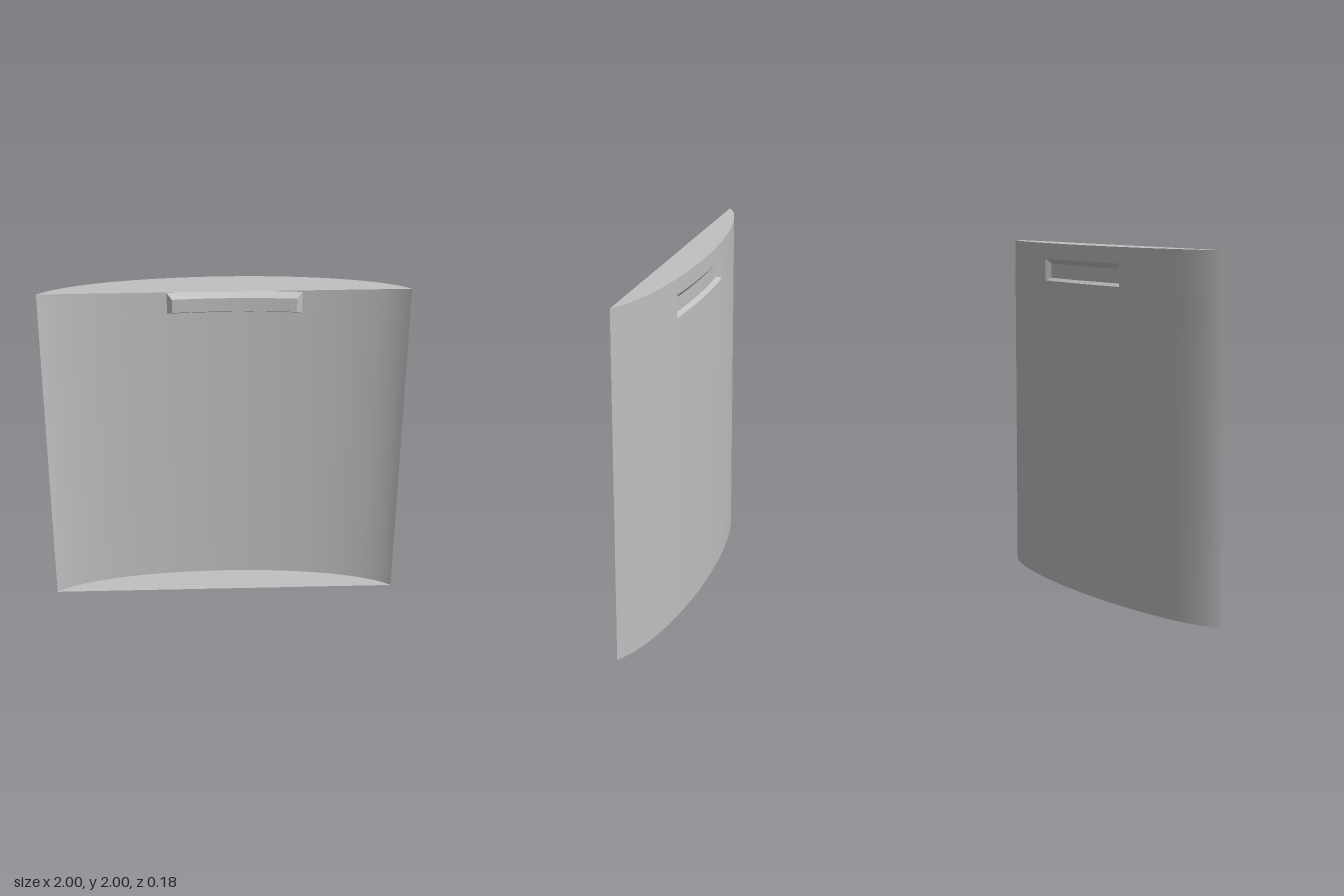
import * as THREE from 'three';

const A = 1.05, B = 0.256, BACK = -0.089; // elliptical cross-section
const HOLE = { x0: -0.31, x1: 0.43, y0: 1.783, y1: 1.91 };
const FLOOR = { x0: -0.282, x1: 0.4, y0: 1.799, y1: 1.88 };
const DEPTH = 0.025;

const arcZ = x => BACK + B * (1 - Math.sqrt(1 - (x / A) ** 2));

// x positions along the arc, evenly spaced by angle
function arcXs(x0, x1, n) {
  const a = Math.asin(x0 / A), b = Math.asin(x1 / A);
  return Array.from({ length: n + 1 }, (_, i) => A * Math.sin(a + (b - a) * i / n));
}

// points following the curved back at height y, moved inward by dz
const curve = (xs, y, dz = 0) => xs.map(x => [x, y, arcZ(x) + dz]);

// surface between two matching point rows
function strip(lower, upper) {
  const g = new THREE.BufferGeometry(), n = lower.length, index = [];
  g.setAttribute('position', new THREE.Float32BufferAttribute([...lower, ...upper].flat(), 3));
  for (let i = 0; i < n - 1; i++) index.push(i, n + i, i + 1, i + 1, n + i, n + i + 1);
  g.setIndex(index);
  g.computeVertexNormals();
  return g;
}

export function createModel() {
  const group = new THREE.Group();
  const grey = new THREE.MeshStandardMaterial({ color: 0xc0c0c0, side: THREE.DoubleSide });
  grey.name = 'light grey';
  const add = (name, geometry) => {
    const mesh = new THREE.Mesh(geometry, grey);
    mesh.name = name;
    group.add(mesh);
    return mesh;
  };

  const leftXs = arcXs(-1, HOLE.x0, 12);
  const midXs = arcXs(HOLE.x0, HOLE.x1, 10);
  const rightXs = arcXs(HOLE.x1, 1, 12);
  const allXs = [...leftXs, ...midXs.slice(1), ...rightXs.slice(1)];

  // curved back around the recess opening
  const panel = (name, xs, y0, y1) => add(name, strip(curve(xs, y0), curve(xs, y1)));
  panel('backPanelLower', allXs, 0, HOLE.y0);
  panel('backPanelUpper', allXs, HOLE.y1, 2);
  panel('backPanelRightSide', leftXs, HOLE.y0, HOLE.y1);
  panel('backPanelLeftSide', rightXs, HOLE.y0, HOLE.y1);

  // recessed grip with sloping walls
  const floorXs = arcXs(FLOOR.x0, FLOOR.x1, 10);
  const rimLow = curve(midXs, HOLE.y0), rimHigh = curve(midXs, HOLE.y1);
  const floorLow = curve(floorXs, FLOOR.y0, DEPTH), floorHigh = curve(floorXs, FLOOR.y1, DEPTH);
  add('recessFloor', strip(floorLow, floorHigh));
  add('recessBottomWall', strip(rimLow, floorLow));
  add('recessTopWall', strip(floorHigh, rimHigh));
  add('recessRightWall', strip([rimLow[0], floorLow[0]], [rimHigh[0], floorHigh[0]]));
  add('recessLeftWall', strip([floorLow[10], rimLow[10]], [floorHigh[10], rimHigh[10]]));

  // flat end caps; the front stays open
  const outline = new THREE.Shape(allXs.map(x => new THREE.Vector2(x, arcZ(x))));
  const cap = new THREE.ShapeGeometry(outline).rotateX(Math.PI / 2);
  add('bottomCap', cap);
  add('topCap', cap).position.y = 2;

  return group;
}
